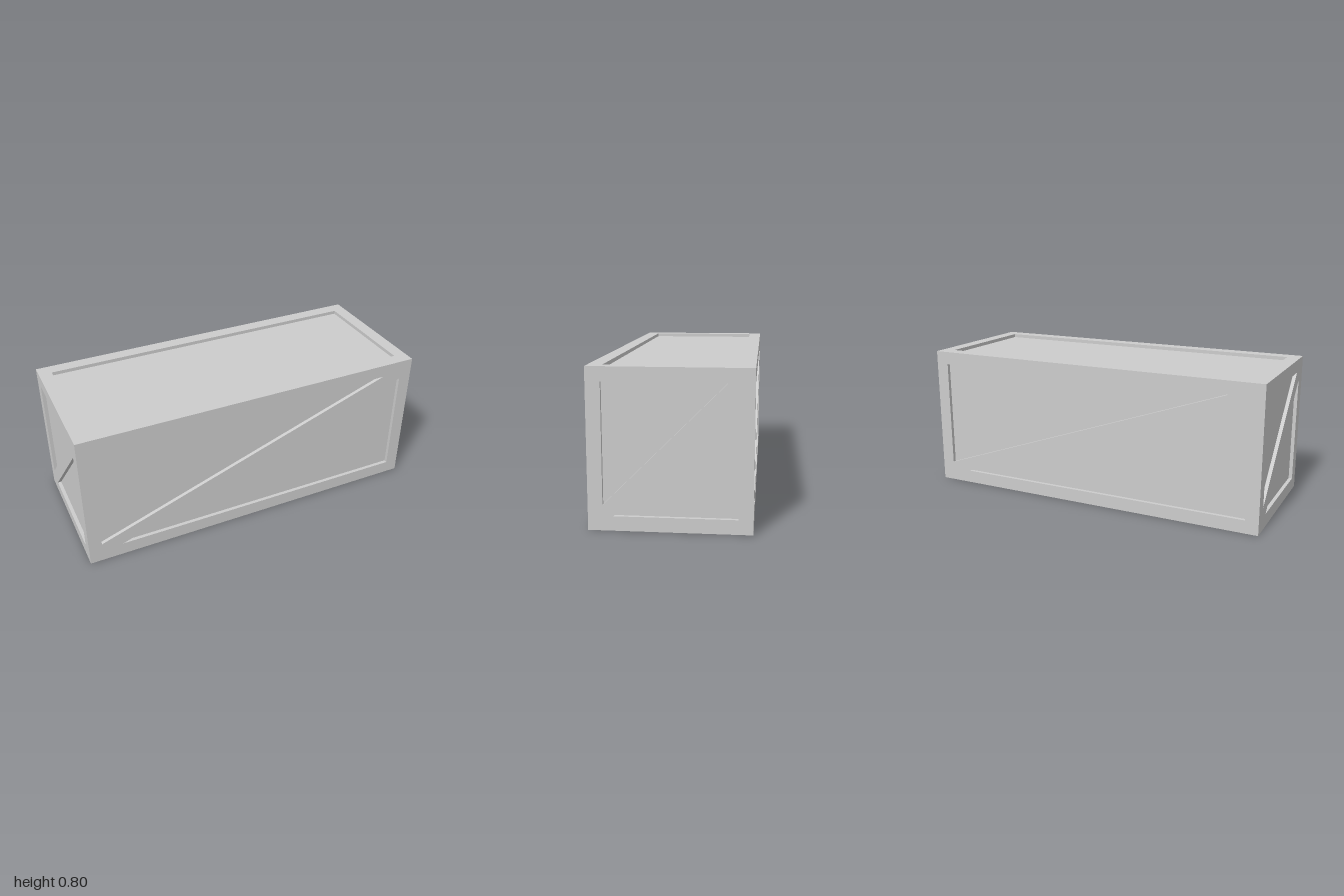
import * as THREE from 'three';
import { mergeGeometries } from 'three/addons/utils/BufferGeometryUtils.js';

const W = 2, H = 0.8, D = 0.8; // overall size
const DEPTH = 0.02;            // depth of the recessed panels
const MARGIN = 0.073;          // width of the frame rails

// Walls of a recess, facing its interior (points run counter-clockwise)
function recessWalls(points) {
  const pos = [];
  points.forEach((a, i) => {
    const b = points[(i + 1) % points.length];
    pos.push(a.x, a.y, 0, b.x, b.y, 0, b.x, b.y, -DEPTH);
    pos.push(a.x, a.y, 0, b.x, b.y, -DEPTH, a.x, a.y, -DEPTH);
  });
  const g = new THREE.BufferGeometry();
  g.setAttribute('position', new THREE.Float32BufferAttribute(pos, 3));
  g.computeVertexNormals();
  return g;
}

// One face of the crate, w by h, facing +z, with recessed panels
function crateFace(name, w, h, panels, material) {
  const group = new THREE.Group();
  group.name = name;
  const rect = [[-1, -1], [1, -1], [1, 1], [-1, 1]].map(([x, y]) => new THREE.Vector2(x * w / 2, y * h / 2));
  const frame = new THREE.Shape(rect);
  frame.holes = panels.map((p) => new THREE.Path(p));
  const parts = [new THREE.ShapeGeometry(frame).toNonIndexed()];
  parts.forEach((g) => g.deleteAttribute('uv'));
  panels.forEach((p) => parts.push(recessWalls(p)));
  const frameMesh = new THREE.Mesh(mergeGeometries(parts), material);
  frameMesh.name = name + 'Frame';
  group.add(frameMesh);
  panels.forEach((p) => {
    const floor = new THREE.Mesh(new THREE.ShapeGeometry(new THREE.Shape(p)), material);
    floor.position.z = -DEPTH;
    floor.name = name + 'Panel';
    group.add(floor);
  });
  return group;
}

// Two triangular panels either side of a diagonal brace
function bracedPanels(w, h, gapX, gapY) {
  const x = w / 2 - MARGIN, y = h / 2 - MARGIN;
  const upper = [[-x, y], [-x, -y + gapY], [x - gapX, y]].map(([a, b]) => new THREE.Vector2(a, b));
  const lower = upper.map((p) => p.clone().negate());
  return [upper, lower];
}

export function createModel() {
  const model = new THREE.Group();
  model.name = 'crate';
  const grey = new THREE.MeshStandardMaterial({ color: 0xcccccc });
  grey.name = 'light grey';

  // Long sides and ends, each pair turned half a circle apart
  [['front', 0], ['back', Math.PI]].forEach(([name, turn]) => {
    const face = crateFace(name, W, H, bracedPanels(W, H, 0.117, 0.04), grey);
    face.rotation.y = turn;
    face.position.set(0, H / 2, Math.cos(turn) * D / 2);
    model.add(face);
  });
  [['leftEnd', 1], ['rightEnd', -1]].forEach(([name, side]) => {
    const face = crateFace(name, D, H, bracedPanels(D, H, 0.054, 0.054), grey);
    face.rotation.y = side * Math.PI / 2;
    face.position.set(side * W / 2, H / 2, 0);
    model.add(face);
  });

  // Lid with one rectangular recess
  const x = W / 2 - MARGIN, z = D / 2 - MARGIN;
  const lidPanel = [[-x, -z], [x, -z], [x, z], [-x, z]].map(([a, b]) => new THREE.Vector2(a, b));
  const lid = crateFace('lid', W, D, [lidPanel], grey);
  lid.rotation.x = -Math.PI / 2;
  lid.position.y = H;
  model.add(lid);

  // Plain base
  const base = crateFace('base', W, D, [], grey);
  base.rotation.x = Math.PI / 2;
  model.add(base);

  return model;
}
